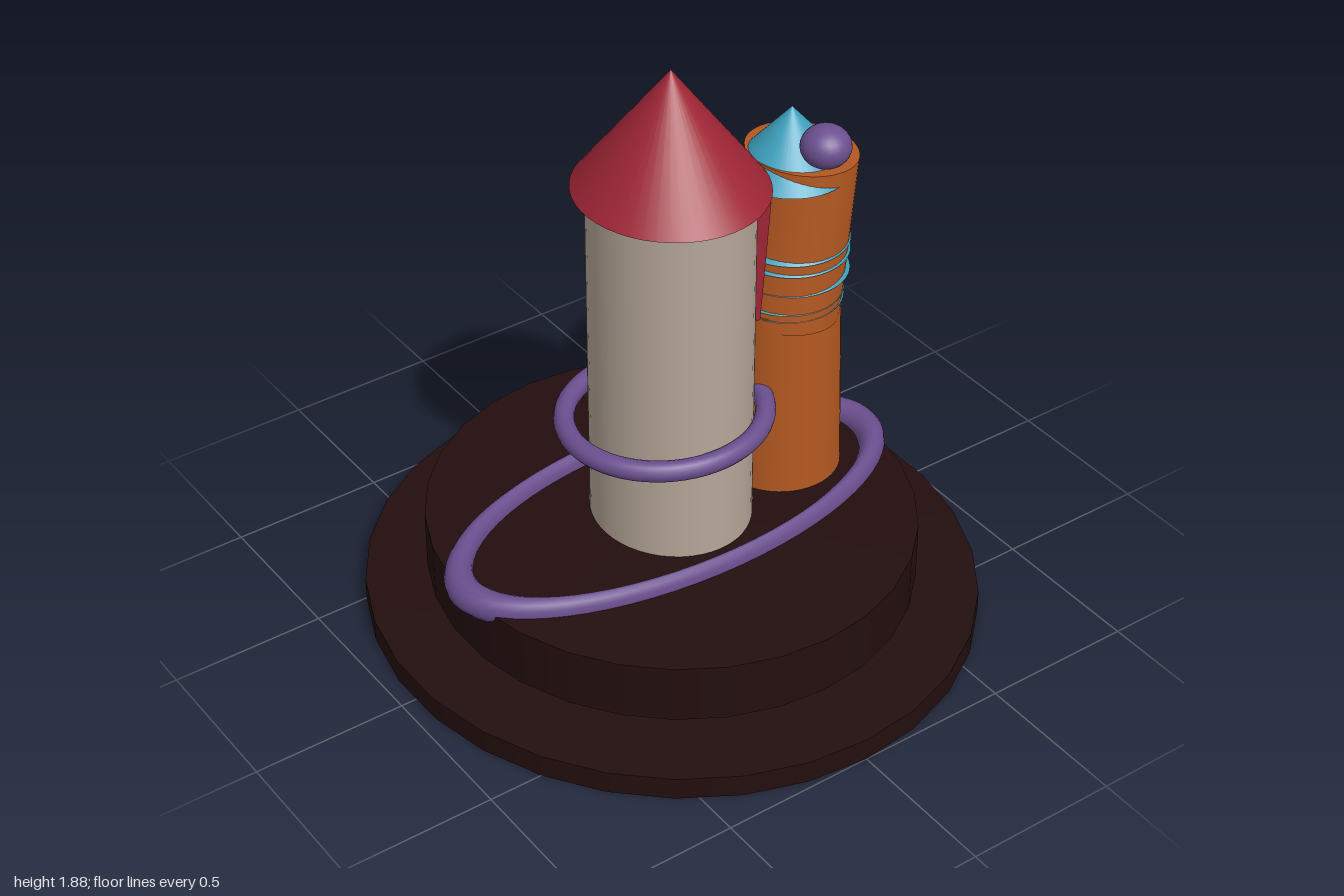
import * as THREE from 'three';

const mat = (name, color) => {
  const m = new THREE.MeshStandardMaterial({ color });
  m.name = name;
  return m;
};

export function createModel() {
  const group = new THREE.Group();
  const dark = mat('dark brown', 0x230e0e);
  const stone = mat('pale stone', 0xb5a698);
  const red = mat('roof red', 0x9e2535);
  const orange = mat('burnt orange', 0xb35821);
  const cyan = mat('cyan', 0x3da0bd);
  const purple = mat('purple', 0x6b4f8f);

  const add = (name, geometry, material, x, y, z) => {
    const mesh = new THREE.Mesh(geometry, material);
    mesh.name = name;
    mesh.position.set(x, y, z);
    group.add(mesh);
    return mesh;
  };
  // upright drum or cone between two heights, with its own depth radius
  const drum = (name, material, x, y0, y1, rTop, rBottom, depth = 1, sides = 48) => {
    const g = new THREE.CylinderGeometry(rTop, rBottom, y1 - y0, sides);
    g.scale(1, 1, depth);
    return add(name, g, material, x, (y0 + y1) / 2, 0);
  };
  // flat-lying oval ring
  const ring = (name, x, y, radius, tube, depth) => {
    const g = new THREE.TorusGeometry(radius, tube, 14, 64);
    g.rotateX(Math.PI / 2);
    g.scale(1, 1, depth);
    return add(name, g, purple, x, y, 0);
  };

  // floating stepped base
  drum('baseDisc', dark, 0, 0, 0.075, 0.952, 0.952, 1.05, 30);
  drum('upperPlatform', dark, 0, 0.125, 0.32, 0.757, 0.757, 1.05, 30);

  // main tower
  drum('mainTower', stone, 0, 0.32, 1.49, 0.246, 0.246, 1.09);
  drum('mainRoof', red, 0, 1.49, 1.88, 0, 0.291, 1.055);
  ring('towerRing', -0.022, 0.688, 0.315, 0.033, 0.93);
  ring('platformRing', 0, 0.32, 0.752, 0.05, 0.46);

  // side tower: tapered foot and leaning upper half
  drum('sideTowerFoot', orange, 0.43, 0.32, 0.96, 0.176, 0.192, 0.96);
  const upper = drum('sideTowerUpper', orange, 0.454, 0.9, 1.45, 0.172, 0.172, 1.03);
  upper.rotation.z = -0.1;

  // stacked cone tiers that poke through the leaning wall
  drum('sideRoof', cyan, 0.44, 1.4, 1.61, 0, 0.183);
  for (const y of [1.155, 1.115, 1.045]) drum('coneTier', cyan, 0.449, y, y + 0.2, 0, 0.182);
  for (const y of [0.955, 0.98]) drum('coneTier', cyan, 0.434, y, y + 0.2, 0, 0.178);

  // red link between the towers
  const link = add('towerLink', new THREE.BoxGeometry(0.11, 0.41, 0.2), red, 0.222, 1.18, 0);
  link.rotation.z = -0.08;

  // hovering orb
  add('orb', new THREE.SphereGeometry(0.076, 24, 16), purple, 0.335, 1.655, 0.295).scale.y = 0.85;

  return group;
}
